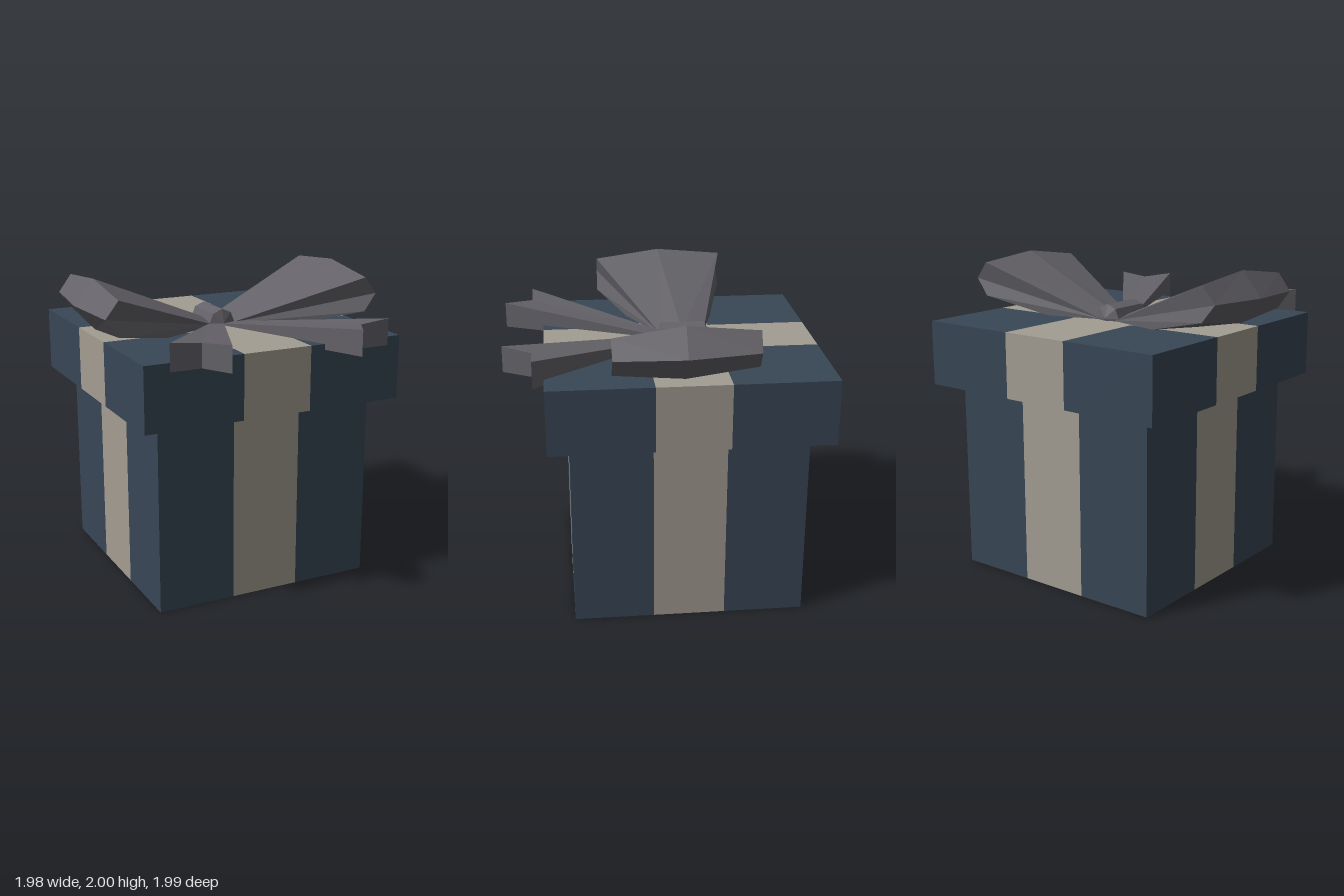
import * as THREE from 'three';

const navy = new THREE.MeshStandardMaterial({ color: 0x384656 });
const cream = new THREE.MeshStandardMaterial({ color: 0xa39d92 });
const grey = new THREE.MeshStandardMaterial({ color: 0x646268 });
navy.name = 'navyPaper';
cream.name = 'creamRibbon';
grey.name = 'greyBow';

const BAND = 0.228; // half width of the ribbon bands
const CENTRE_Z = -0.127; // centre of the box in depth

// Box whose faces are split at the band edges; the middle strips are cream
function wrappedBox(name, size, y0, y1) {
  const h = size / 2;
  const geo = new THREE.BoxGeometry(size, y1 - y0, size, 3, 1, 3).toNonIndexed();
  const p = geo.attributes.position;
  const snap = (v) => (Math.abs(v) > h * 0.9 ? v : Math.sign(v) * BAND);
  for (let i = 0; i < p.count; i++) {
    p.setX(i, snap(p.getX(i)));
    p.setZ(i, snap(p.getZ(i)));
  }
  geo.clearGroups();
  for (let i = 0; i < p.count; i += 3) {
    const cx = (p.getX(i) + p.getX(i + 1) + p.getX(i + 2)) / 3;
    const cz = (p.getZ(i) + p.getZ(i + 1) + p.getZ(i + 2)) / 3;
    geo.addGroup(i, 3, Math.abs(cx) < BAND || Math.abs(cz) < BAND ? 1 : 0);
  }
  const mesh = new THREE.Mesh(geo, [navy, cream]);
  mesh.name = name;
  mesh.position.set(0, (y0 + y1) / 2, CENTRE_Z);
  return mesh;
}

// Flat-faced closed solid through equal-length rings; side = -1 mirrors it in x
function loft(name, rings, side) {
  const tris = [];
  const n = rings[0].length;
  const last = rings[rings.length - 1];
  for (let r = 0; r + 1 < rings.length; r++) {
    for (let i = 0; i < n; i++) {
      const j = (i + 1) % n;
      const [a, b, c, d] = [rings[r][i], rings[r][j], rings[r + 1][j], rings[r + 1][i]];
      tris.push([a, b, c], [a, c, d]);
    }
  }
  for (let i = 1; i + 1 < n; i++) {
    tris.push([rings[0][0], rings[0][i + 1], rings[0][i]]);
    tris.push([last[0], last[i], last[i + 1]]);
  }
  // Signed volume tells whether the corners must be reversed
  const vec = tris.map((t) => t.map(([x, y, z]) => new THREE.Vector3(x * side, y, z)));
  const volume = vec.reduce((s, [a, b, c]) => s + a.dot(b.clone().cross(c)), 0);
  const points = vec.flatMap(([a, b, c]) => (volume < 0 ? [a, c, b] : [a, b, c]));
  const geo = new THREE.BufferGeometry().setFromPoints(points);
  geo.computeVertexNormals();
  const mesh = new THREE.Mesh(geo, grey);
  mesh.name = name;
  return mesh;
}

// Bow loop cross-section, running from the knot out to the rounded end and back
function loopRing(zIn, zOut, topIn, top, tipX, tipY, bottom) {
  return [
    [0.06, topIn, zIn],
    [0.86, top, zOut],
    [tipX, tipY, (zOut - 0.08) * 0.99 + 0.08],
    [0.86, bottom, zOut],
    [0.06, 1.55, zIn],
  ];
}

export function createModel() {
  const model = new THREE.Group();
  model.name = 'giftBox';
  model.add(wrappedBox('boxBody', 1.47, 0, 1.224));
  model.add(wrappedBox('boxLid', 1.74, 1.224, 1.636));

  const bow = new THREE.Group();
  bow.name = 'bow';
  model.add(bow);

  const loopRings = [
    loopRing(-0.02, 0.355, 1.64, 1.94, 0.945, 1.83, 1.715),
    loopRing(-0.16, -0.075, 1.665, 2.0, 0.99, 1.84, 1.68),
    loopRing(-0.3, -0.51, 1.64, 1.96, 0.945, 1.85, 1.74),
  ];
  // Tail outline starts at the notch, so the top folds towards it
  const tailTop = [
    [0.535, 1.75, 0.81],
    [0.433, 1.765, 0.99],
    [0, 1.65, 0.01],
    [0.09, 1.65, -0.03],
    [0.735, 1.77, 0.81],
  ];
  const tailRings = [tailTop, tailTop.map(([x, , z]) => [x, 1.6, z])];
  for (const [label, side] of [['left', 1], ['right', -1]]) {
    bow.add(loft(label + 'Loop', loopRings, side));
    bow.add(loft(label + 'Tail', tailRings, side));
  }

  // Knot: eight-sided roll with shallow pointed ends
  const profile = [[0, -0.17], [0.09, -0.14], [0.09, 0.14], [0, 0.17]];
  const knotGeo = new THREE.LatheGeometry(profile.map(([x, y]) => new THREE.Vector2(x, y)), 8).toNonIndexed();
  knotGeo.computeVertexNormals();
  const knot = new THREE.Mesh(knotGeo, grey);
  knot.name = 'knot';
  knot.rotation.x = Math.PI / 2;
  knot.position.set(0, 1.65, -0.16);
  bow.add(knot);

  return model;
}
